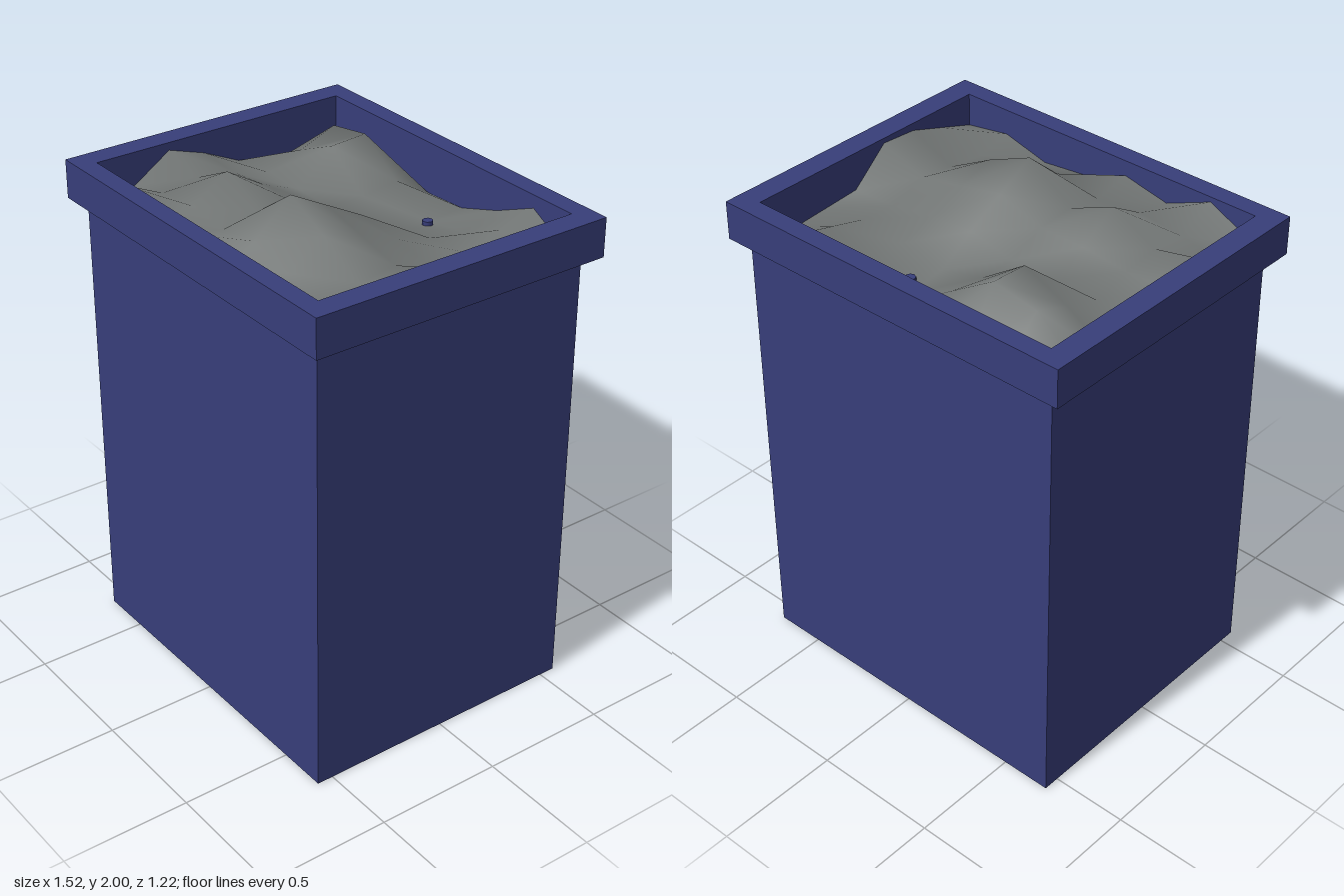
import * as THREE from 'three';

const blue = new THREE.MeshStandardMaterial({ color: 0x383e7a });
blue.name = 'planter blue';
const grey = new THREE.MeshStandardMaterial({ color: 0x727675, side: THREE.DoubleSide });
grey.name = 'soil grey';

const INNER_W = 1.334, INNER_D = 1.07;

// Soil heights in hundredths above 1.70, rows from back to front, each from -x to +x
const HEIGHTS = [
  [8, 6, 4, 3, 4, 10, 18, 8],
  [4, 21, 24, 12, 3, 6, 14, 6],
  [3, 15, 23, 10, 5, 8, 10, 7],
  [8, 10, 10, 10, 14, 12, 9, 8],
  [15, 14, 16, 16, 22, 18, 14, 21],
  [20, 16, 25, 17, 30, 22, 12, 20],
  [10, 14, 16, 14, 17, 13, 10, 15],
  [12, 21, 13, 17, 10, 8, 13, 10],
];

function add(group, name, geometry, material, y = 0) {
  const mesh = new THREE.Mesh(geometry, material);
  mesh.name = name;
  mesh.position.y = y;
  group.add(mesh);
  return mesh;
}

function rectangle(path, w, d) {
  return path.moveTo(-w / 2, -d / 2).lineTo(w / 2, -d / 2)
    .lineTo(w / 2, d / 2).lineTo(-w / 2, d / 2).closePath();
}

// Upright rectangular ring with the shared inner opening
function frame(w, d, height) {
  const shape = rectangle(new THREE.Shape(), w, d);
  shape.holes.push(rectangle(new THREE.Path(), INNER_W, INNER_D));
  return new THREE.ExtrudeGeometry(shape, { depth: height, bevelEnabled: false })
    .rotateX(-Math.PI / 2);
}

export function createModel() {
  const group = new THREE.Group();
  group.name = 'planter';

  // Tall body, its upper wall and the overhanging rim
  add(group, 'body', new THREE.BoxGeometry(1.396, 1.7, 1.128), blue, 0.85);
  add(group, 'upperWall', frame(1.396, 1.128, 0.08), blue, 1.7);
  add(group, 'rim', frame(1.518, 1.222, 0.15), blue, 1.78);

  // Lumpy soil sheet with smooth normals
  const soil = new THREE.PlaneGeometry(INNER_W, INNER_D, 7, 7).rotateX(-Math.PI / 2);
  HEIGHTS.flat().forEach((h, i) => soil.attributes.position.setY(i, h / 100));
  soil.computeVertexNormals();
  add(group, 'soil', soil, grey, 1.7);

  // Small peg tip showing through the soil
  const peg = add(group, 'pegTip', new THREE.CylinderGeometry(0.02, 0.02, 0.07, 8), blue, 1.725);
  peg.position.x = 0.135;
  peg.position.z = -0.343;

  return group;
}
